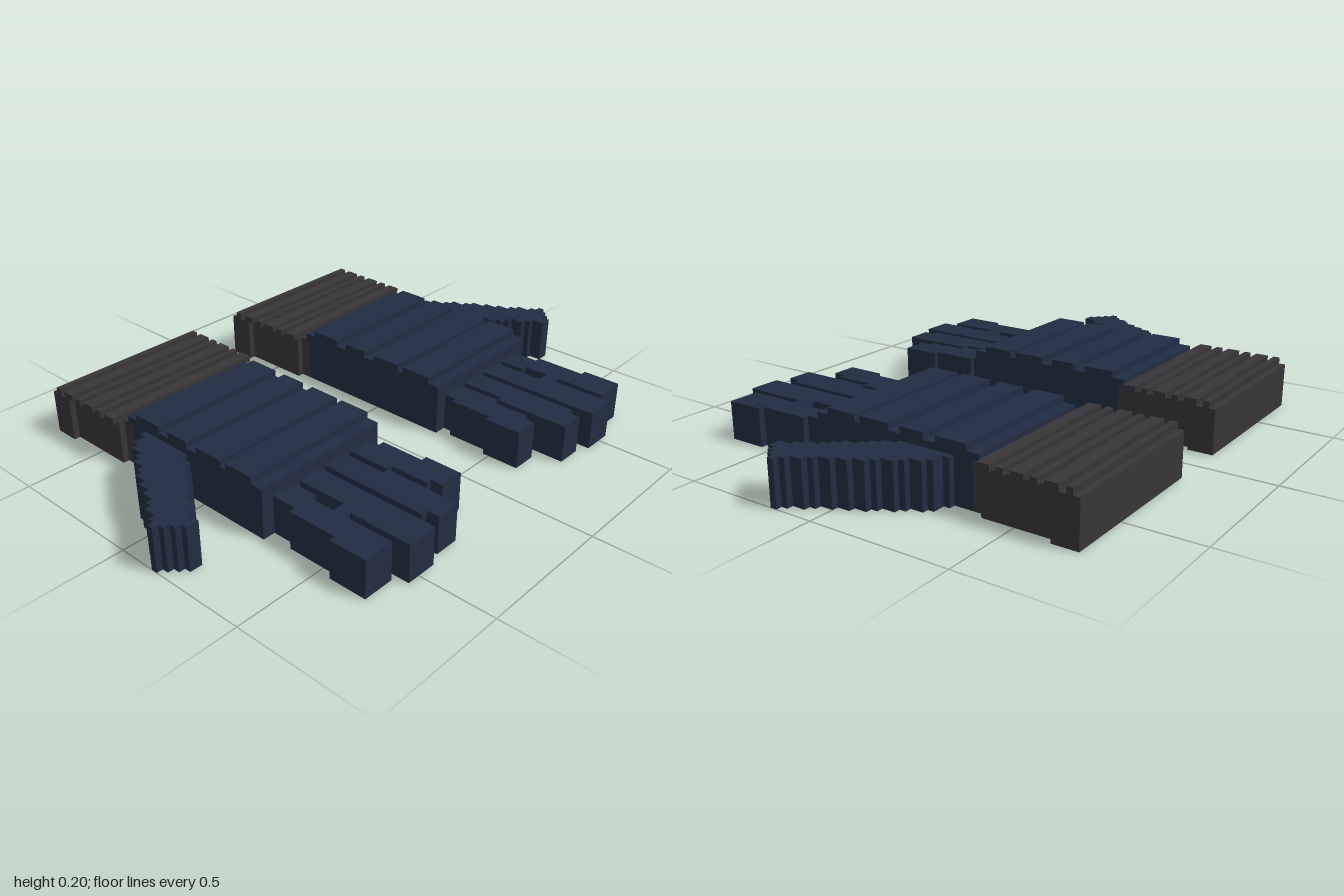
import * as THREE from 'three';

// One block of the grid: the longest side is 88 blocks
const U = 1 / 44;

const navy = new THREE.MeshStandardMaterial({ color: 0x212d42 });
navy.name = 'navy fabric';
const charcoal = new THREE.MeshStandardMaterial({ color: 0x383539 });
charcoal.name = 'charcoal knit';

// Box from grid limits, mirrored in x by side (+1 or -1)
function block(group, name, material, side, [x0, x1], [y0, y1], [z0, z1]) {
  const mesh = new THREE.Mesh(
    new THREE.BoxGeometry((x1 - x0) * U, (y1 - y0) * U, (z1 - z0) * U), material);
  mesh.position.set(side * (x0 + x1) / 2 * U, (y0 + y1) / 2 * U, (z0 + z1) / 2 * U);
  mesh.name = name;
  group.add(mesh);
}

function part(parent, name) {
  const group = new THREE.Group();
  group.name = name;
  parent.add(group);
  return group;
}

// Each finger is a row of segments: [x0, x1, z0, z1]
const FINGERS = {
  indexFinger: [[24, 28, 12, 16], [25, 29, 16, 24], [25, 30, 24, 30]],
  middleFinger: [[19, 23, 12, 20], [19, 25, 20, 22], [19, 24, 22, 32]],
  ringFinger: [[14, 18, 12, 19], [13, 18, 19, 29], [13, 17, 29, 31]],
  littleFinger: [[9, 13, 12, 14], [8, 13, 14, 19], [8, 12, 19, 21], [7, 12, 21, 25], [7, 11, 25, 27]],
};

// Thumb: z range of each one-block column, going outward from the palm
const THUMB = [[-12, -3], [-11, -1], [-11, 0], [-10, 1], [-8, 3], [-7, 4], [-5, 5],
  [-4, 7], [-2, 8], [0, 10], [2, 10], [3, 9], [5, 8], [6, 7]];

function buildGlove(side) {
  const glove = new THREE.Group();
  glove.name = side > 0 ? 'leftGlove' : 'rightGlove';

  // Palm with four padded bands across the back of the hand
  const palm = part(glove, 'palm');
  block(palm, 'palmBody', navy, side, [7, 30], [0, 8], [-15, 12]);
  block(palm, 'wristLip', navy, side, [7, 30], [7, 8], [-16, -15]);
  for (const z of [[5, 10], [-1, 4], [-7, -3], [-14, -9]]) {
    block(palm, 'paddedBand', navy, side, [7, 30], [8, 9], z);
  }

  // Fingers
  for (const [name, segments] of Object.entries(FINGERS)) {
    const finger = part(glove, name);
    for (const [x0, x1, z0, z1] of segments) {
      block(finger, 'fingerSegment', navy, side, [x0, x1], [0, 6], [z0, z1]);
    }
  }

  // Stepped thumb
  const thumb = part(glove, 'thumb');
  THUMB.forEach((z, i) =>
    block(thumb, 'thumbStep', navy, side, [30 + i, 31 + i], [0, 7], z));

  // Cuff: neck, body, wide hem and raised ribs
  const cuff = part(glove, 'cuff');
  block(cuff, 'cuffNeck', charcoal, side, [7, 30], [0, 7], [-17, -15]);
  block(cuff, 'cuffBody', charcoal, side, [6, 31], [0, 7], [-28, -17]);
  block(cuff, 'cuffHem', charcoal, side, [5, 32], [0, 7], [-32, -28]);
  for (const z of [[-19, -17], [-21, -20], [-24, -22], [-26, -25], [-29, -27], [-31, -30]]) {
    block(cuff, 'cuffRib', charcoal, side, [5, 32], [7, 8], z);
  }
  return glove;
}

export function createModel() {
  const model = new THREE.Group();
  model.name = 'gloves';
  for (const side of [1, -1]) model.add(buildGlove(side));
  return model;
}
